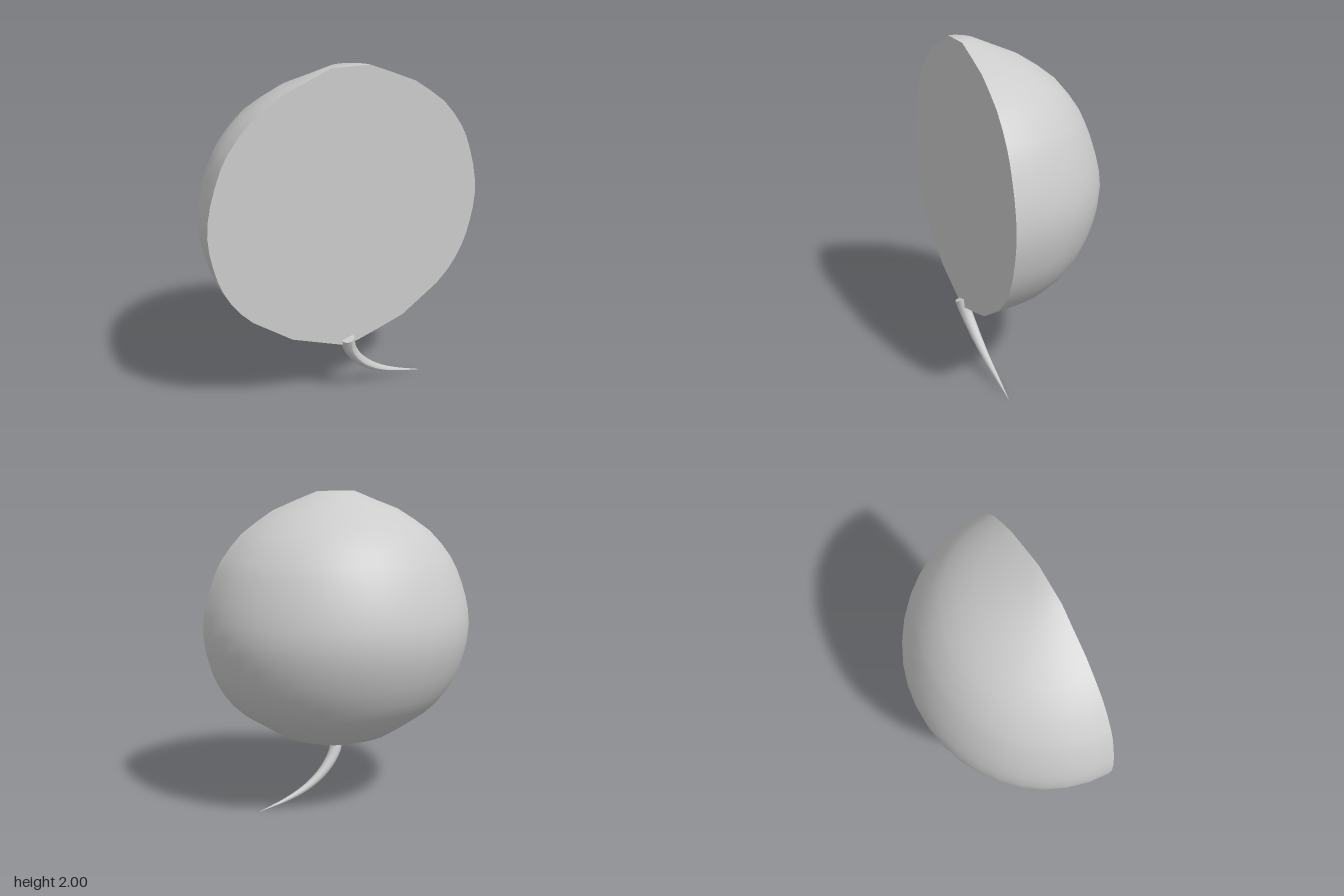
import * as THREE from 'three';

// Profile rings from crown to base: height, half width, depth behind the cut
const RINGS = [
  [2.0, 0.12, 0.11], [1.945, 0.26, 0.24], [1.89, 0.4, 0.37], [1.82, 0.51, 0.48], [1.755, 0.6, 0.565],
  [1.68, 0.67, 0.63], [1.6, 0.73, 0.685], [1.53, 0.768, 0.72], [1.44, 0.802, 0.757], [1.35, 0.83, 0.785],
  [1.26, 0.848, 0.805], [1.17, 0.855, 0.815], [1.08, 0.847, 0.805], [1.0, 0.83, 0.787], [0.92, 0.808, 0.76],
  [0.85, 0.78, 0.73], [0.775, 0.738, 0.69], [0.7, 0.682, 0.64], [0.63, 0.61, 0.57], [0.55, 0.49, 0.47],
  [0.47, 0.37, 0.35], [0.415, 0.21, 0.2], [0.36, 0.04, 0.04],
];
const CUT_Z = 0.39;
const SEGMENTS = 20;

// Rounded back, slightly fuller on the right, closed at crown and base
function domeGeometry() {
  const rings = [[2, 0, 0], ...RINGS, [0.36, 0, 0]];
  const positions = [], index = [];
  rings.forEach(([y, width, depth], i) => {
    const cx = width < 0.15 ? -0.01 : 0;
    for (let j = 0; j <= SEGMENTS; j++) {
      const t = (j / SEGMENTS) * Math.PI;
      const k = 1 - 0.012 * Math.sin(2 * t);
      positions.push(cx + width * k * Math.cos(t), y, CUT_Z - depth * k * Math.sin(t));
      if (i < rings.length - 1 && j < SEGMENTS) {
        const a = i * (SEGMENTS + 1) + j, b = a + SEGMENTS + 1;
        index.push(a, b, a + 1, b, b + 1, a + 1);
      }
    }
  });
  const g = new THREE.BufferGeometry();
  g.setAttribute('position', new THREE.Float32BufferAttribute(positions, 3));
  g.setIndex(index);
  g.computeVertexNormals();
  return g;
}

// Flat cut front, following the dome's rim
function cutFaceGeometry() {
  const side = (s) => RINGS.map(([y, w]) => new THREE.Vector2(s * w - (w < 0.15 ? 0.01 : 0), y));
  const shape = new THREE.Shape([...side(-1), ...side(1).reverse()]);
  return new THREE.ShapeGeometry(shape).translate(0, 0, CUT_Z);
}

// Curved tail: a tube narrowed towards its tip
function stemGeometry(curve, radius) {
  const steps = 20, sides = 10;
  const g = new THREE.TubeGeometry(curve, steps, 1, sides);
  const p = g.attributes.position, v = new THREE.Vector3();
  for (let i = 0; i <= steps; i++) {
    const u = i / steps, c = curve.getPointAt(u);
    const r = radius * (1 - Math.pow(u, 1.25)) + 0.001;
    for (let j = 0; j <= sides; j++) {
      const n = i * (sides + 1) + j;
      v.fromBufferAttribute(p, n).sub(c).multiplyScalar(r).add(c);
      p.setXYZ(n, v.x, v.y, v.z);
    }
  }
  g.computeVertexNormals();
  return g;
}

export function createModel() {
  const model = new THREE.Group();
  const grey = new THREE.MeshStandardMaterial({ color: 0xcccccc });
  grey.name = 'light grey';
  const add = (name, geometry) => {
    const mesh = new THREE.Mesh(geometry, grey);
    mesh.name = name;
    model.add(mesh);
    return mesh;
  };

  add('roundedBack', domeGeometry());
  add('cutFace', cutFaceGeometry());

  const path = new THREE.CatmullRomCurve3([
    [-0.012, 0.398, 0.393], [0.012, 0.32, 0.375], [0.065, 0.243, 0.357], [0.135, 0.175, 0.343],
    [0.245, 0.105, 0.33], [0.385, 0.05, 0.32], [0.555, 0.004, 0.316],
  ].map((p) => new THREE.Vector3(...p)));
  add('stem', stemGeometry(path, 0.04));

  // Disc closing the thick end of the stem
  const end = add('stemEnd', new THREE.CircleGeometry(0.041, 10));
  end.position.copy(path.getPointAt(0));
  end.lookAt(end.position.clone().sub(path.getTangentAt(0)));
  return model;
}
